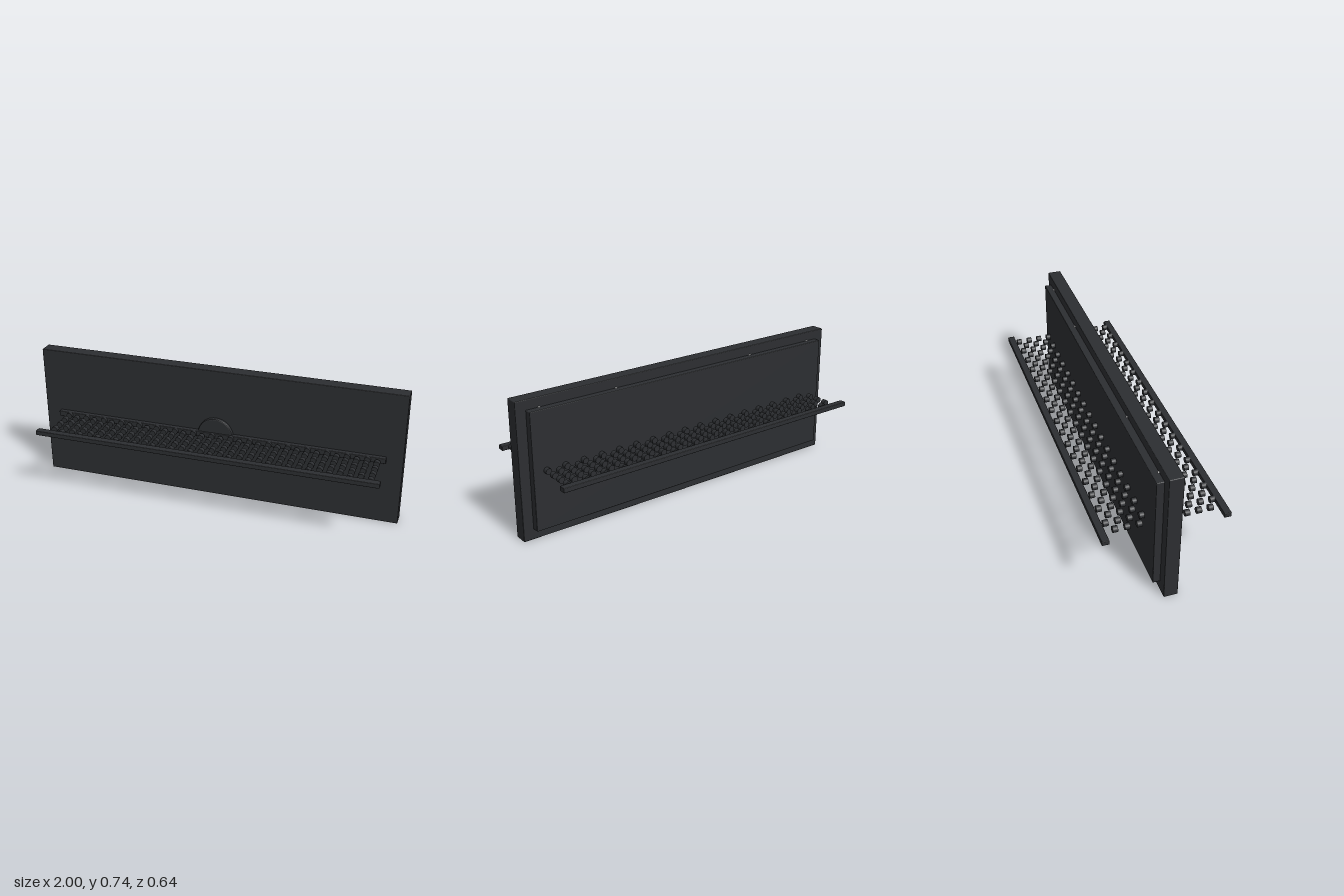
import * as THREE from 'three';
import { RoundedBoxGeometry } from 'three/addons/geometries/RoundedBoxGeometry.js';

const dark = new THREE.MeshStandardMaterial({ color: 0x2c2e31 });
const steel = new THREE.MeshStandardMaterial({ color: 0xcccccc });
const MID = 0.37; // height of the shelf

export function createModel() {
  const model = new THREE.Group();

  const add = (name, geometry, x, y, z, material = dark, parent = model) => {
    const mesh = new THREE.Mesh(geometry, material);
    mesh.name = name;
    mesh.position.set(x, y, z);
    parent.add(mesh);
    return mesh;
  };
  const slab = (w, h, d, r) => new RoundedBoxGeometry(w, h, d, 2, r);

  // Upright panel and the thinner plate behind it
  add('mainPanel', slab(2, 0.736, 0.073, 0.004), 0, 0.368, 0);
  add('backPlate', slab(1.89, 0.628, 0.042, 0.004), 0, MID, -0.053);

  // Round boss with a softened rim on the front
  const profile = [[0, 0], [0.097, 0], [0.097, 0.015], [0.095, 0.019], [0.091, 0.021], [0, 0.021]]
    .map(([r, h]) => new THREE.Vector2(r, h));
  const boss = new THREE.LatheGeometry(profile, 48).rotateX(Math.PI / 2);
  const bossMaterial = dark.clone();
  bossMaterial.flatShading = true;
  add('frontBoss', boss, 0, MID, 0.034, bossMaterial);

  // Shelf edge bars, and the ledge against the panel
  for (const side of [1, -1]) {
    add(side > 0 ? 'frontBar' : 'backBar', slab(1.85, 0.025, 0.037, 0.003), 0, MID, side * 0.304);
  }
  add('wallLedge', slab(1.828, 0.03, 0.028, 0.004), 0, MID, 0.048);

  // Staggered rows of short pegs either side of the panel
  const pegs = new THREE.Group();
  pegs.name = 'shelfPegs';
  model.add(pegs);
  const peg = new THREE.CylinderGeometry(0.0165, 0.0165, 0.026, 16).rotateX(Math.PI / 2);
  for (let row = 0; row < 19; row++) {
    const z = 0.275 - row * 0.03;
    if (z < 0.05 && z > -0.08) continue; // buried in the panel
    const start = row % 2 ? -0.847 : -0.795;
    for (let i = 0; i < 17; i++) add('peg', peg, start + i * 0.1043, MID, z, dark, pegs);
  }

  // Small fixing pins along the top and bottom edges of the back plate
  const pin = new THREE.CylinderGeometry(0.006, 0.006, 0.008, 12).rotateX(Math.PI / 2);
  for (const y of [0.684, 0.057]) {
    for (const x of [-0.875, -0.44, 0.44, 0.875]) add('fixingPin', pin, x, y, -0.039, steel);
  }

  return model;
}
